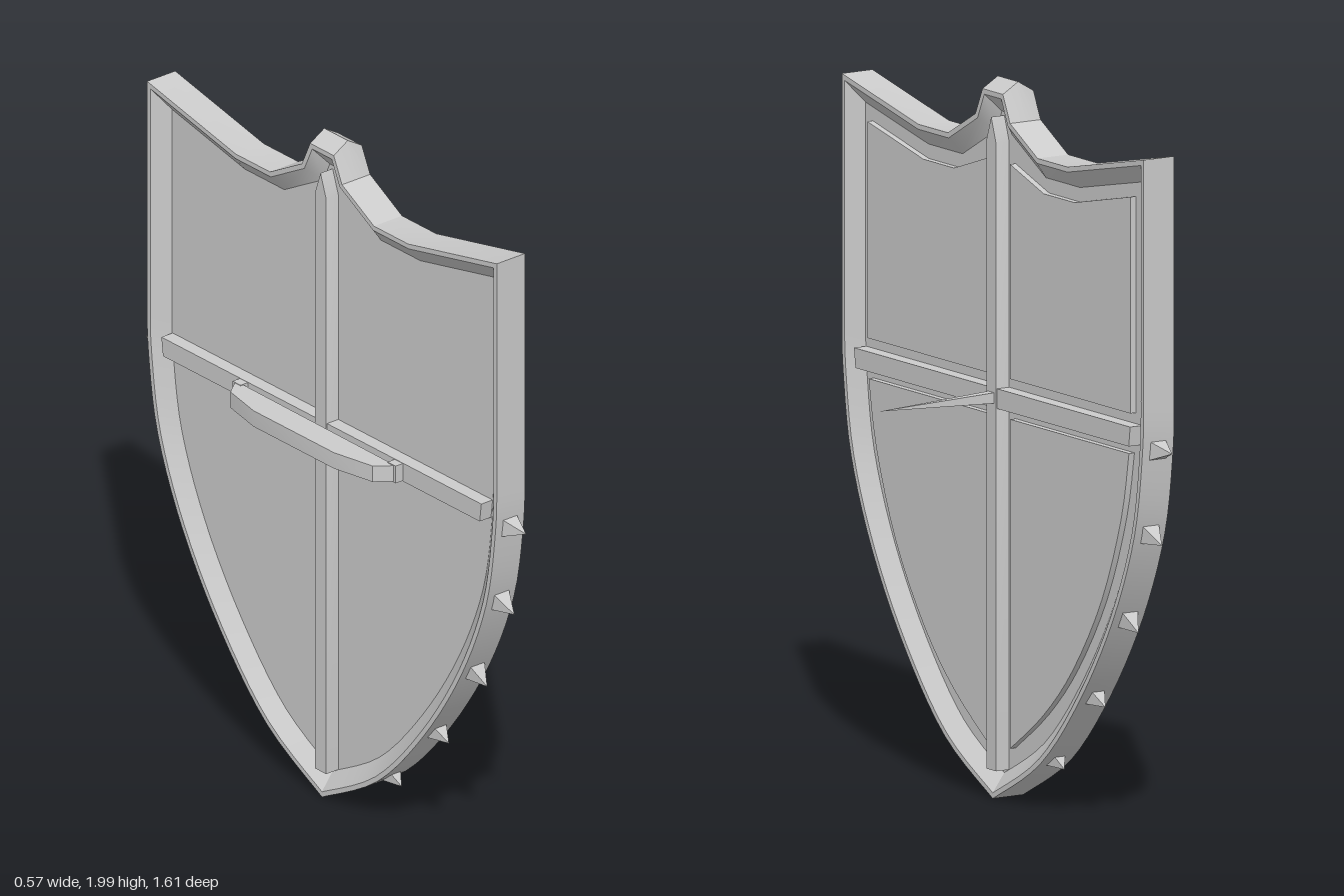
import * as THREE from 'three';
import { toCreasedNormals } from 'three/addons/utils/BufferGeometryUtils.js';

const V2 = (x, y) => new THREE.Vector2(x, y);
const material = new THREE.MeshStandardMaterial({ color: 0xcccccc });

function add(parent, name, geometry) {
  const mesh = new THREE.Mesh(geometry, material);
  mesh.name = name;
  parent.add(mesh);
  return mesh;
}

// Flat plate cut from points, between depths z0 and z1
function plate(points, z0, z1) {
  const g = new THREE.ExtrudeGeometry(new THREE.Shape(points), { depth: z1 - z0, bevelEnabled: false });
  return toCreasedNormals(g.translate(0, 0, z0), 0.5);
}

const mirrorX = (pts) => pts.map((p) => V2(-p.x, p.y)).reverse();

// Counter-clockwise outline: curved lower side, scooped top, central crest
function shieldOutline() {
  const curve = new THREE.SplineCurve([
    V2(0, 0.01), V2(0.235, 0.145), V2(0.43, 0.355), V2(0.59, 0.6), V2(0.695, 0.85), V2(0.735, 1.09), V2(0.74, 1.25),
  ]).getPoints(30);
  const half = [...curve, V2(0.74, 1.9), V2(0.365, 1.82), V2(0.22, 1.82), V2(0.085, 1.895), V2(0.05, 1.97)];
  return [...half, ...mirrorX(half).slice(0, -1)];
}

// Mitred inward offset of a closed counter-clockwise outline
function inset(points, d) {
  const n = points.length;
  return points.map((p, i) => {
    const a = p.clone().sub(points[(i + n - 1) % n]).normalize();
    const b = points[(i + 1) % n].clone().sub(p).normalize();
    const m = V2(-a.y - b.y, a.x + b.x).normalize();
    const k = d / Math.max(0.5, m.dot(V2(-a.y, a.x)));
    return p.clone().addScaledVector(m, k);
  });
}

// Rim lofted through rings from the back field, around the edge, to the front field
function rimGeometry(outline) {
  const inner = inset(outline, 0.06);
  const lip = inset(outline, 0.014);
  const ridge = outline.map((p) => V2(p.x, p.y > 1.95 ? p.y + 0.03 : p.y));
  const rings = [[inner, -0.012], [lip, -0.05], [outline, -0.05], [ridge, 0],
    [outline, 0.05], [lip, 0.05], [inner, 0.012]];
  const n = outline.length;
  const pos = [];
  const index = [];
  rings.forEach(([pts, z]) => pts.forEach((p) => pos.push(p.x, p.y, z)));
  for (let j = 0; j < rings.length - 1; j++) {
    for (let i = 0; i < n; i++) {
      const k = (i + 1) % n;
      const a = j * n + i, b = j * n + k, c = b + n, d = a + n;
      index.push(a, b, c, a, c, d);
    }
  }
  const g = new THREE.BufferGeometry();
  g.setAttribute('position', new THREE.Float32BufferAttribute(pos, 3));
  g.setIndex(index);
  return toCreasedNormals(g.toNonIndexed(), 0.45);
}

// Four-sided spike with its base at one point and its tip at another
function spikeGeometry(base, tip, halfWidth) {
  const dir = tip.clone().sub(base);
  const g = new THREE.ConeGeometry(halfWidth * Math.SQRT2, dir.length(), 4).rotateY(Math.PI / 4);
  const q = new THREE.Quaternion().setFromUnitVectors(new THREE.Vector3(0, 1, 0), dir.normalize());
  g.applyQuaternion(q);
  const mid = base.clone().add(tip).multiplyScalar(0.5);
  return toCreasedNormals(g.translate(mid.x, mid.y, mid.z), 0.3);
}

export function createModel() {
  const model = new THREE.Group();
  model.name = 'shield';

  // Built facing +z, then turned so its face looks along +x
  const shield = new THREE.Group();
  shield.name = 'shieldBody';
  shield.rotation.y = Math.PI / 2;
  shield.position.x = -0.15;
  model.add(shield);

  const outline = shieldOutline();
  add(shield, 'rim', rimGeometry(outline));
  add(shield, 'field', plate(inset(outline, 0.058), -0.012, 0.012));

  // Raised panels in the four quarters of the face
  const upper = [V2(0.055, 1.18), V2(0.645, 1.18), V2(0.645, 1.78), V2(0.37, 1.72), V2(0.22, 1.72), V2(0.055, 1.775)];
  const lower = [V2(0.055, 1.068), ...new THREE.SplineCurve([
    V2(0.055, 0.155), V2(0.22, 0.275), V2(0.365, 0.425), V2(0.505, 0.64), V2(0.6, 0.88), V2(0.638, 1.068),
  ]).getPoints(20)];
  for (const [name, pts] of [['upperPanel', upper], ['lowerPanel', lower]]) {
    add(shield, name + 'Left', plate(mirrorX(pts), 0.01, 0.03));
    add(shield, name + 'Right', plate(pts, 0.01, 0.03));
  }

  // Cross bars showing on both faces
  add(shield, 'verticalBar', plate(
    [V2(-0.024, 0.09), V2(0.024, 0.09), V2(0.024, 1.83), V2(0, 1.9), V2(-0.024, 1.83)], -0.055, 0.055));
  add(shield, 'horizontalBar', plate(
    [V2(-0.67, 1.095), V2(0.67, 1.095), V2(0.677, 1.15), V2(-0.677, 1.15)], -0.052, 0.052));

  // Long central spike
  add(shield, 'centreSpike', spikeGeometry(
    new THREE.Vector3(0, 1.123, 0.05), new THREE.Vector3(0, 1.123, 0.422), 0.015));

  // Short spikes around the lower edge: base x, y and tip x, y
  const edgeSpikes = [
    [0.73, 1.09, 0.805, 1.09], [0.69, 0.851, 0.755, 0.828], [0.582, 0.6, 0.64, 0.567],
    [0.42, 0.362, 0.478, 0.335], [0.225, 0.16, 0.278, 0.13],
  ];
  for (const side of [-1, 1]) {
    for (const [bx, by, tx, ty] of edgeSpikes) {
      add(shield, 'edgeSpike', spikeGeometry(
        new THREE.Vector3(side * bx, by, 0), new THREE.Vector3(side * tx, ty, 0), 0.027));
    }
  }

  // Hand grip: a bent strap on two mounting blocks
  const outer = [V2(-0.34, -0.073), V2(-0.3, -0.123), V2(-0.17, -0.15)];
  const inner = [V2(-0.325, -0.068), V2(-0.29, -0.115), V2(-0.165, -0.14)];
  const strap = [...outer, ...mirrorX(outer), ...inner.map((p) => V2(-p.x, p.y)), ...mirrorX(inner).map((p) => V2(-p.x, p.y)).map((p) => V2(-p.x, p.y))];
  add(shield, 'gripStrap', plate(strap, -0.024, 0.024).rotateX(Math.PI / 2).translate(0, 1.123, 0));
  for (const side of [-1, 1]) {
    add(shield, 'gripMount', new THREE.BoxGeometry(0.034, 0.052, 0.03)).position.set(side * 0.328, 1.123, -0.063);
  }
  return model;
}
